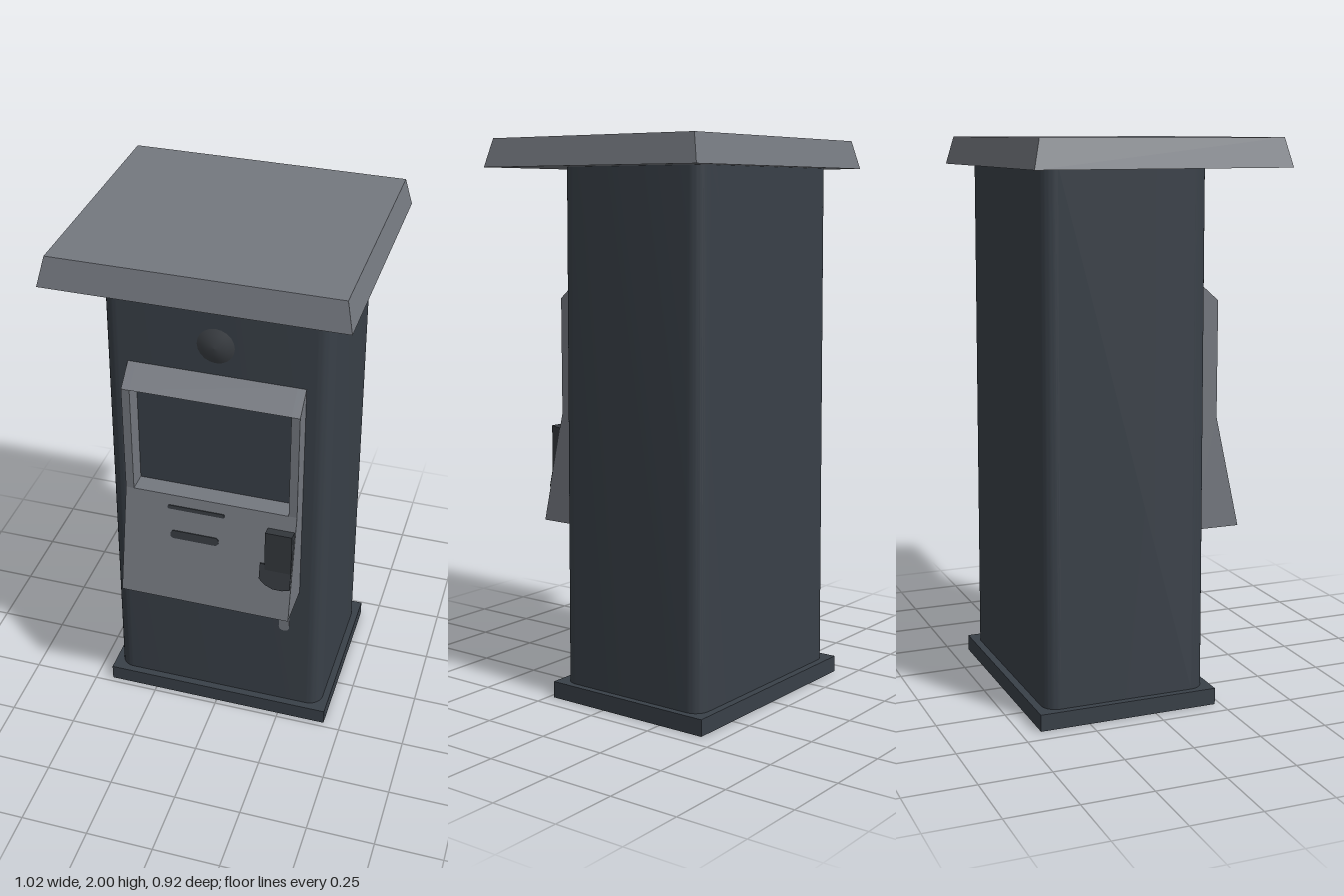
import * as THREE from 'three';
import { toCreasedNormals } from 'three/addons/utils/BufferGeometryUtils.js';

const mat = (name, color, side = THREE.FrontSide) => {
  const m = new THREE.MeshStandardMaterial({ color, side });
  m.name = name;
  return m;
};

const shapeOf = (pts) => new THREE.Shape(pts.map(([x, y]) => new THREE.Vector2(x, y)));

// Rectangle with rounded corners, centred on the origin
function roundedRect(w, h, r) {
  const s = new THREE.Shape();
  const x = w / 2 - r, y = h / 2 - r;
  s.absarc(x, y, r, 0, Math.PI / 2);
  s.absarc(-x, y, r, Math.PI / 2, Math.PI);
  s.absarc(-x, -y, r, Math.PI, Math.PI * 1.5);
  s.absarc(x, -y, r, Math.PI * 1.5, Math.PI * 2);
  s.closePath();
  return s;
}

// Side profile given as [z, y] points, extruded from x0 to x1
function profile(pts, x0, x1) {
  const g = new THREE.ExtrudeGeometry(shapeOf(pts), { depth: x1 - x0, bevelEnabled: false });
  g.rotateY(-Math.PI / 2);
  g.translate(x1, 0, 0);
  return g;
}

// Thin plate cut from a shape, facing +z
const plate = (shape, t = 0.006) =>
  new THREE.ExtrudeGeometry(shape, { depth: t, bevelEnabled: false, curveSegments: 6 });

export function createModel() {
  const root = new THREE.Group();
  root.name = 'kiosk';
  const bodyMat = mat('charcoal', 0x394048);
  const baseMat = mat('charcoal plinth', 0x394048, THREE.DoubleSide);
  const greyMat = mat('light grey', 0x74787f);
  const darkMat = mat('dark grey', 0x34383d);

  const add = (name, geo, material, parent = root) => {
    const m = new THREE.Mesh(geo, material);
    m.name = name;
    parent.add(m);
    return m;
  };

  // Plinth: a shallow box open underneath
  const plinth = new THREE.BoxGeometry(0.87, 0.06, 0.66);
  plinth.setIndex(Array.from(plinth.index.array).filter((_, i) => i < 18 || i >= 24));
  plinth.clearGroups();
  add('plinth', plinth, baseMat).position.set(0, 0.03, -0.1);

  // Cabinet: rounded column narrowing slightly towards the top, front kept upright
  const H = 1.85;
  let cabinet = new THREE.ExtrudeGeometry(roundedRect(0.82, 0.605, 0.055),
    { depth: H, bevelEnabled: false, curveSegments: 6 });
  cabinet.rotateX(-Math.PI / 2);
  const p = cabinet.attributes.position;
  for (let i = 0; i < p.count; i++) {
    const t = p.getY(i) / H;
    p.setX(i, p.getX(i) * (1 - 0.03 * t));
    p.setZ(i, 0.2025 + (p.getZ(i) - 0.3025) * (1 - 0.012 * t));
  }
  cabinet = toCreasedNormals(cabinet, 0.6);
  add('cabinet', cabinet, bodyMat).position.y = 0.06;

  // Roof: slab with sloping edges
  const roof = new THREE.BoxGeometry(1.02, 0.1, 0.92);
  const rp = roof.attributes.position;
  for (let i = 0; i < rp.count; i++) {
    if (rp.getY(i) > 0) rp.setXYZ(i, Math.sign(rp.getX(i)) * 0.487, 0.05, Math.sign(rp.getZ(i)) * 0.435);
  }
  roof.computeVertexNormals();
  add('roof', roof, greyMat).position.y = 1.95;

  // Console: hood, cheeks and sloping desk around a recessed screen
  const console_ = new THREE.Group();
  console_.name = 'console';
  root.add(console_);
  const back = 0.19, lip = 0.28, top = 1.51, hoodY = 1.44, deskY = 1.025, low = 0.62;
  for (const [x0, x1, name] of [[-0.315, -0.285, 'rightCheek'], [0.285, 0.315, 'leftCheek']]) {
    add(name, profile([[back, low], [0.37, low], [lip, deskY], [lip, hoodY], [0.2, top], [back, top]], x0, x1),
      greyMat, console_);
  }
  add('hood', profile([[back, hoodY], [lip, hoodY], [0.2, top], [back, top]], -0.285, 0.285), greyMat, console_);
  add('desk', profile([[back, low], [0.37, low], [lip, deskY], [back, deskY]], -0.285, 0.285), greyMat, console_);
  add('screen', new THREE.BoxGeometry(0.57, hoodY - deskY, 0.004), bodyMat, console_)
    .position.set(0, (hoodY + deskY) / 2, 0.205);

  // Fittings lying on the sloping desk
  const slope = Math.atan2(0.09, deskY - low);
  const fittings = new THREE.Group();
  fittings.name = 'deskFittings';
  fittings.position.set(0, deskY, lip);
  fittings.rotation.x = -slope;
  console_.add(fittings);
  const onDesk = (y) => (y - deskY) / Math.cos(slope);
  add('cardSlot', plate(roundedRect(0.21, 0.014, 0.005), 0.004), darkMat, fittings)
    .position.set(-0.05, onDesk(0.98), 0);
  add('ticketSlot', plate(roundedRect(0.18, 0.03, 0.014), 0.004), darkMat, fittings)
    .position.set(-0.05, onDesk(0.877), 0);
  add('readerPlate', plate(shapeOf([[0.197, onDesk(0.83)], [0.197, onDesk(0.77)], [0.22, onDesk(0.75)],
    [0.25, onDesk(0.738)], [0.285, onDesk(0.738)], [0.312, onDesk(0.745)], [0.312, onDesk(0.83)]])),
  darkMat, fittings);
  add('reader', profile([[0.28, 0.965], [0.28, 0.8], [0.334, 0.8], [0.333, 0.975]], 0.215, 0.312),
    darkMat, console_);

  // Shallow dome above the console
  const dome = new THREE.LatheGeometry(
    [[0.072, 0], [0.045, 0.012], [0.02, 0.019], [0, 0.021]].map(([r, h]) => new THREE.Vector2(r, h)), 20);
  dome.rotateX(Math.PI / 2);
  add('cameraDome', dome, mat('dome grey', 0x3c4045, THREE.DoubleSide)).position.set(0, 1.62, 0.2);

  // Lock plate on the lower door
  add('lockPlate', plate(roundedRect(0.04, 0.11, 0.018), 0.005), greyMat).position.set(0.26, 0.472, 0.2);

  return root;
}
